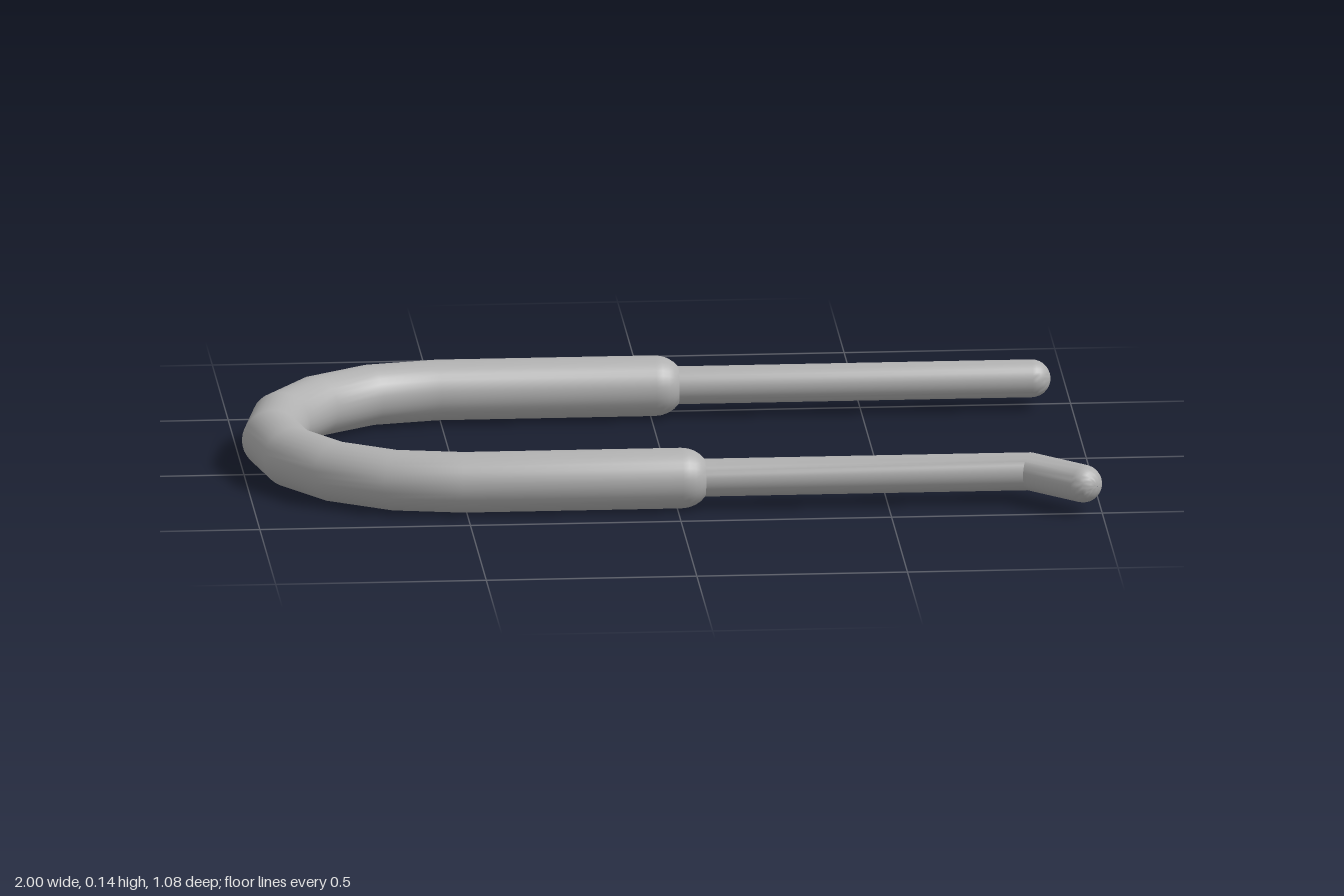
import * as THREE from 'three';
import { toCreasedNormals } from 'three/addons/utils/BufferGeometryUtils.js';

const SIDES = 32, CAP_STEPS = 7, HEIGHT = 0.073;

// Round bar swept along a flat [x, z] path, with mitred bends and domed ends
function roundBar(path, radius) {
  const pts = path.map(([x, z]) => new THREE.Vector3(x, HEIGHT, z));
  const last = pts.length - 1;
  const dir = (i) => pts[i + 1].clone().sub(pts[i]).normalize();
  const rings = [];
  const dome = (p, t, end) => {
    for (let k = 0; k < CAP_STEPS; k++) {
      const a = ((end ? CAP_STEPS - 1 - k : k) / CAP_STEPS) * Math.PI / 2;
      const shift = (end ? 1 : -1) * radius * Math.cos(a);
      rings.push({ p: p.clone().addScaledVector(t, shift), t, r: Math.max(radius * Math.sin(a), 0.0005), stretch: 1 });
    }
  };

  dome(pts[0], dir(0), false);
  pts.forEach((p, i) => {
    const before = dir(Math.max(i - 1, 0));
    const after = dir(Math.min(i, last - 1));
    const t = before.clone().add(after).normalize();
    rings.push({ p, t, r: radius, stretch: 1 / t.dot(after) });
  });
  dome(pts[last], dir(last - 1), true);

  const positions = [], index = [];
  rings.forEach(({ p, t, r, stretch }, i) => {
    for (let j = 0; j < SIDES; j++) {
      const a = (j / SIDES) * Math.PI * 2;
      const side = r * stretch * Math.cos(a);
      positions.push(p.x + t.z * side, p.y + r * Math.sin(a), p.z - t.x * side);
      if (i === rings.length - 1) continue;
      const n = (j + 1) % SIDES, row = i * SIDES;
      index.push(row + j, row + n, row + SIDES + j, row + n, row + SIDES + n, row + SIDES + j);
    }
  });
  const geometry = new THREE.BufferGeometry();
  geometry.setAttribute('position', new THREE.Float32BufferAttribute(positions, 3));
  geometry.setIndex(index);
  return toCreasedNormals(geometry, 0.6);
}

export function createModel() {
  const group = new THREE.Group();
  const grey = new THREE.MeshStandardMaterial({ color: 0xb0b0b0 });
  grey.name = 'grey';

  const add = (name, path, radius) => {
    const mesh = new THREE.Mesh(roundBar(path, radius), grey);
    mesh.name = name;
    group.add(mesh);
  };

  // Thick U-shaped sleeve: half circle in eight straight pieces plus two legs
  const backZ = -0.468, frontZ = 0.374;
  const midZ = (backZ + frontZ) / 2, bend = (frontZ - backZ) / 2;
  const sleeve = [[0.01, backZ]];
  for (let i = 0; i <= 8; i++) {
    const a = (i / 8) * Math.PI;
    sleeve.push([-0.507 - bend * Math.sin(a), midZ - bend * Math.cos(a)]);
  }
  sleeve.push([0.01, frontZ]);
  add('curvedSleeve', sleeve, 0.072);

  // Thin rods: a straight one at the back, a hooked one at the front
  add('straightRod', [[0, backZ], [0.905, backZ]], 0.045);
  add('hookedRod', [[0, frontZ], [0.837, frontZ], [0.955, 0.495]], 0.045);

  return group;
}
